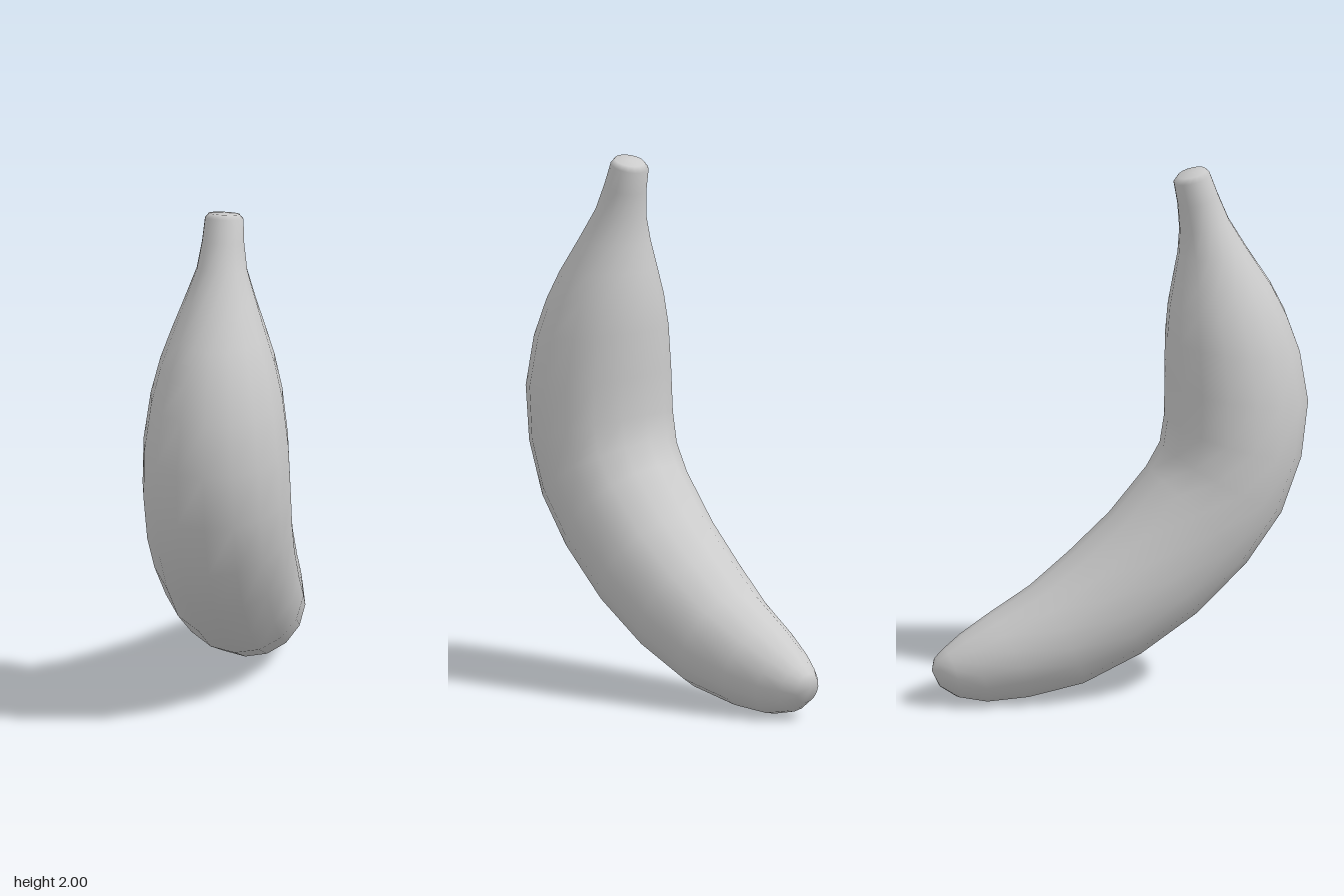
import * as THREE from 'three';

const SIDES = 16;

// Cross-sections from stem to tip: outer z, outer y, inner z, inner y, half width
const SECTIONS = [
  [0.34, 2.0, 0.232, 1.972, 0.058],
  [0.354, 1.985, 0.217, 1.95, 0.073],
  [0.386, 1.9, 0.232, 1.865, 0.08],
  [0.428, 1.8, 0.24, 1.765, 0.096],
  [0.5, 1.68, 0.235, 1.67, 0.135],
  [0.59, 1.54, 0.217, 1.57, 0.18],
  [0.645, 1.43, 0.2, 1.47, 0.217],
  [0.697, 1.285, 0.19, 1.35, 0.25],
  [0.728, 1.09, 0.19, 1.18, 0.275],
  [0.7, 0.874, 0.19, 1.03, 0.281],
  [0.62, 0.66, 0.175, 0.93, 0.278],
  [0.482, 0.47, 0.125, 0.845, 0.27],
  [0.29, 0.29, -0.02, 0.68, 0.258],
  [0.07, 0.147, -0.175, 0.545, 0.24],
  [-0.155, 0.047, -0.33, 0.425, 0.212],
  [-0.366, 0.009, -0.5, 0.328, 0.175],
  [-0.524, 0.002, -0.61, 0.262, 0.132],
  [-0.63, 0.026, -0.676, 0.213, 0.092],
  [-0.695, 0.07, -0.712, 0.182, 0.054],
];
const STEM_END = [0.286, 1.988];
const TIP_END = [-0.728, 0.135];

function createFruitGeometry() {
  const positions = [];
  const index = [];

  // Elliptical rings, each tilted across the bend
  for (const [oz, oy, iz, iy, w] of SECTIONS) {
    for (let j = 0; j < SIDES; j++) {
      const a = (j / SIDES) * Math.PI * 2;
      const t = (1 - Math.cos(a)) / 2;
      positions.push(w * Math.sin(a), oy + (iy - oy) * t, oz + (iz - oz) * t);
    }
  }
  const stem = positions.length / 3;
  const tip = stem + 1;
  positions.push(0, STEM_END[1], STEM_END[0], 0, TIP_END[1], TIP_END[0]);

  // Skin between rings, closed by a fan at each end
  const last = (SECTIONS.length - 1) * SIDES;
  for (let j = 0; j < SIDES; j++) {
    const k = (j + 1) % SIDES;
    for (let r = 0; r < last; r += SIDES) {
      index.push(r + j, r + SIDES + j, r + k, r + k, r + SIDES + j, r + SIDES + k);
    }
    index.push(stem, j, k, tip, last + k, last + j);
  }

  const geometry = new THREE.BufferGeometry();
  geometry.setAttribute('position', new THREE.Float32BufferAttribute(positions, 3));
  geometry.setIndex(index);
  geometry.computeVertexNormals();
  return geometry;
}

export function createModel() {
  const group = new THREE.Group();
  group.name = 'banana';
  const body = new THREE.Mesh(
    createFruitGeometry(),
    new THREE.MeshStandardMaterial({ color: 0xcccccc })
  );
  body.name = 'bananaBody';
  group.add(body);
  return group;
}
